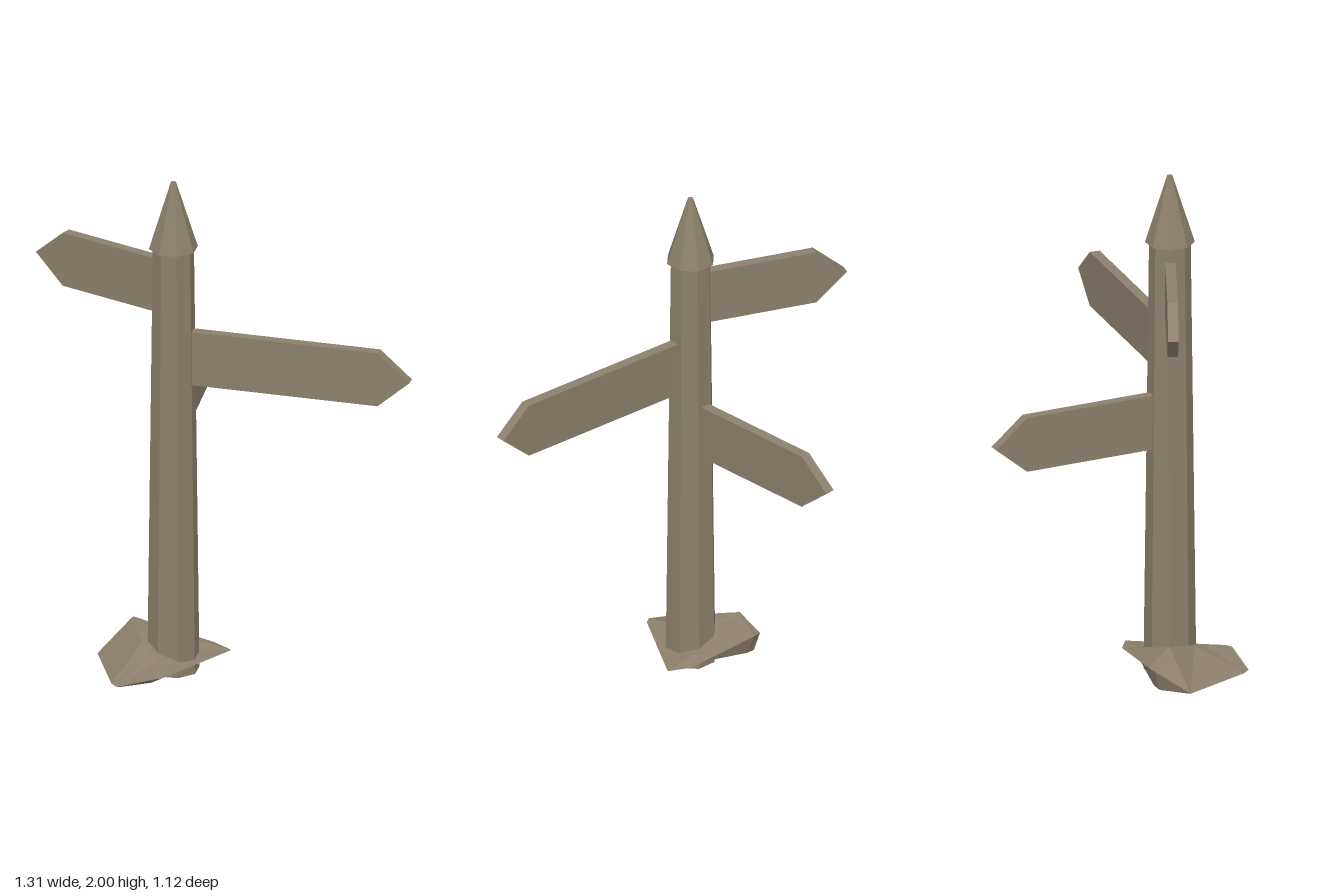
import * as THREE from 'three';

const POST_X = -0.2, POST_Z = 0.14;

// Splits shared vertices so that every face keeps its own normal
function faceted(geometry) {
  const g = geometry.index ? geometry.toNonIndexed() : geometry;
  g.computeVertexNormals();
  return g;
}

// Arrow board pointing along +x from the post axis
function boardGeometry(shoulder, tip) {
  const h = 0.109, start = 0.06, depth = 0.04;
  const shape = new THREE.Shape([
    new THREE.Vector2(start, -h), new THREE.Vector2(shoulder, -h),
    new THREE.Vector2(tip, 0),
    new THREE.Vector2(shoulder, h), new THREE.Vector2(start, h),
  ]);
  const g = new THREE.ExtrudeGeometry(shape, { depth, bevelEnabled: false });
  return g.translate(0, 0, -depth / 2);
}

// Rock skinned from an upper, a rim and a lower loop, closed at the post axis
function rockGeometry() {
  const upper = [
    [-0.34, 0.155, 0], [-0.33, 0.163, 0], [-0.3, 0.15, 0],
    [-0.12, 0.085, 0.06], [-0.1, 0.065, 0.13], [-0.22, 0.07, 0.25],
    [-0.27, 0.085, 0.24], [-0.3, 0.1, 0.22], [-0.32, 0.12, 0.15],
  ];
  const rim = [
    [-0.465, 0.012, -0.02], [-0.34, 0.085, -0.085], [-0.3, 0.09, -0.08],
    [-0.03, 0.06, 0.055], [0.025, 0.055, 0.13], [-0.28, 0.055, 0.36],
    [-0.31, 0.055, 0.365], [-0.445, 0.012, 0.315], [-0.46, 0.012, 0.28],
  ];
  const lower = [
    [-0.45, 0.005, -0.01], [-0.34, 0.005, -0.06], [-0.3, 0.01, -0.05],
    [-0.1, 0.04, 0.07], [-0.08, 0.045, 0.13], [-0.28, 0.02, 0.27],
    [-0.31, 0.01, 0.29], [-0.43, 0.005, 0.3], [-0.445, 0.005, 0.27],
  ];
  const top = [POST_X, 0.1, POST_Z], bottom = [POST_X, 0.03, POST_Z];
  const loops = [upper, rim, lower], points = [];
  const n = rim.length;
  for (let i = 0; i < n; i++) {
    const j = (i + 1) % n;
    points.push(top, upper[j], upper[i], bottom, lower[i], lower[j]);
    for (let k = 0; k < 2; k++) {
      const u = loops[k], l = loops[k + 1];
      points.push(u[i], u[j], l[j], u[i], l[j], l[i]);
    }
  }
  const g = new THREE.BufferGeometry();
  g.setAttribute('position', new THREE.Float32BufferAttribute(points.flat(), 3));
  return g;
}

export function createModel() {
  const model = new THREE.Group();
  model.name = 'signpost';
  const wood = new THREE.MeshStandardMaterial({ color: 0x8c806c });
  wood.name = 'weathered taupe';

  const add = (name, geometry, x = 0, y = 0, z = 0) => {
    const mesh = new THREE.Mesh(faceted(geometry), wood);
    mesh.name = name;
    mesh.position.set(x, y, z);
    model.add(mesh);
    return mesh;
  };

  // Tapered octagonal post with a pointed cap
  add('post', new THREE.CylinderGeometry(0.079, 0.1, 1.735, 8), POST_X, 0.8675, POST_Z);
  add('cap', new THREE.CylinderGeometry(0.01, 0.094, 0.27, 8), POST_X, 1.865, POST_Z);

  // Arrow boards: height, tip position on the plan, shoulder and tip distance
  const boards = [
    ['upperBoard', 1.565, -0.645, -0.3, 0.5, 0.625],
    ['middleBoard', 1.29, 0.645, 0.54, 0.81, 0.935],
    ['lowerBoard', 1.017, 0.05, -0.56, 0.612, 0.743],
  ];
  for (const [name, y, tipX, tipZ, shoulder, tip] of boards) {
    const board = add(name, boardGeometry(shoulder, tip), POST_X, y, POST_Z);
    board.rotation.y = Math.atan2(POST_Z - tipZ, tipX - POST_X);
  }

  // Rock around the foot
  add('baseRock', rockGeometry());

  return model;
}
